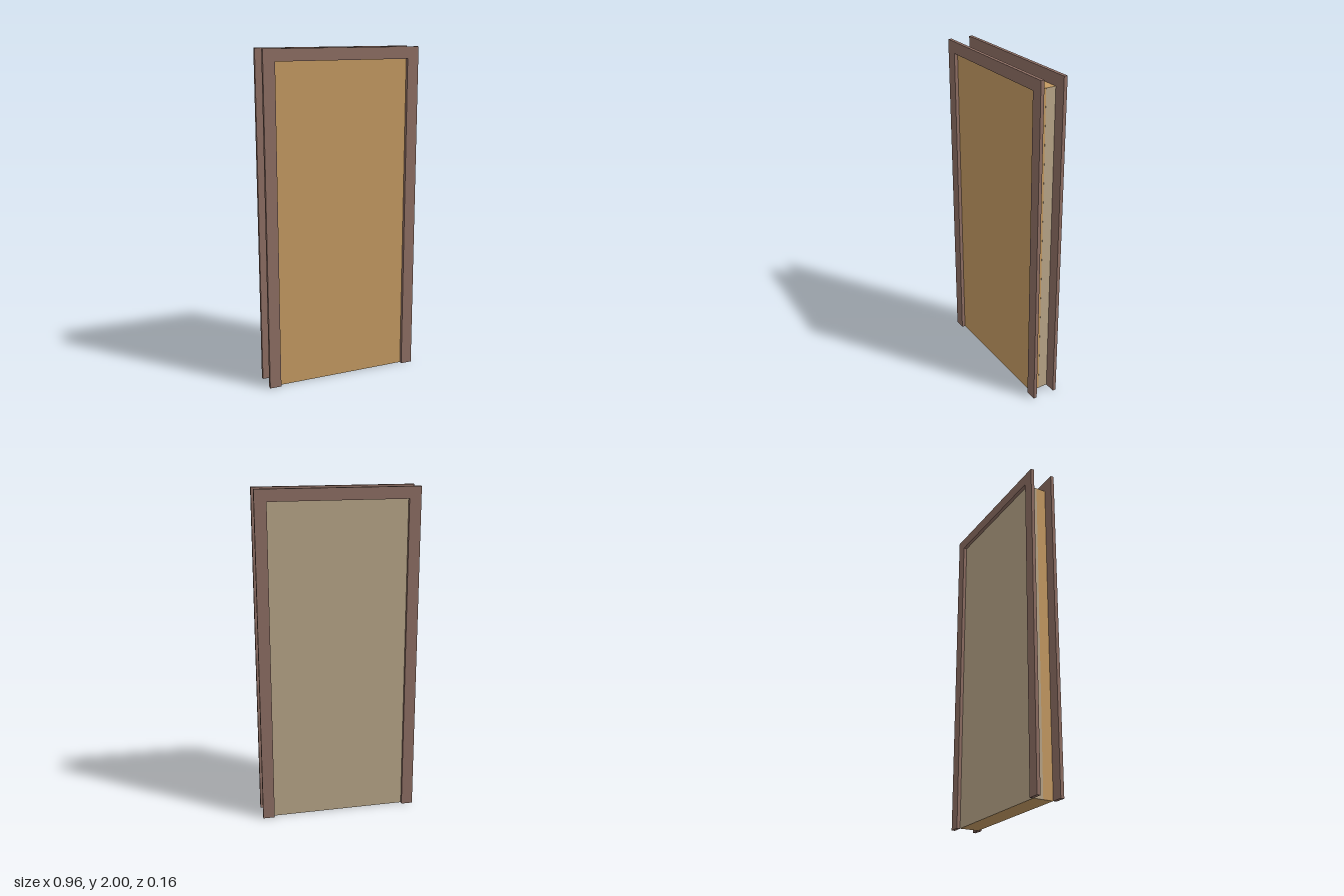
import * as THREE from 'three';

const material = (color) => new THREE.MeshStandardMaterial({ color });

function addBox(group, name, size, position, mat) {
  const mesh = new THREE.Mesh(new THREE.BoxGeometry(...size), mat);
  mesh.name = name;
  mesh.position.set(...position);
  group.add(mesh);
}

export function createModel() {
  const group = new THREE.Group();
  group.name = 'door';
  const wood = material(0xc49a62);
  const paleWood = material(0xb8a588);
  const brown = material(0x8d6e63);

  const halfW = 0.41, height = 1.93, depth = 0.12; // opening
  const outerW = 0.48, outerH = 2, trimDepth = 0.021; // trim

  // Full-depth body, with a paler leaf filling its rear half
  addBox(group, 'doorBody', [halfW * 2, height, depth], [0, height / 2, 0], wood);
  addBox(group, 'rearLeaf', [halfW * 2 + 0.001, height - 0.001, depth / 2],
    [0, height / 2, -depth / 4 - 0.0005], paleWood);

  // Three-sided trim, open at the floor, on both faces
  const outline = new THREE.Shape([
    [-outerW, 0], [-halfW, 0], [-halfW, height], [halfW, height],
    [halfW, 0], [outerW, 0], [outerW, outerH], [-outerW, outerH],
  ].map(([x, y]) => new THREE.Vector2(x, y)));
  const trim = new THREE.ExtrudeGeometry(outline, { depth: trimDepth, bevelEnabled: false });
  for (const [name, z] of [['frontTrim', depth / 2], ['backTrim', -depth / 2 - trimDepth]]) {
    const mesh = new THREE.Mesh(trim, brown);
    mesh.name = name;
    mesh.position.z = z;
    group.add(mesh);
  }
  return group;
}
